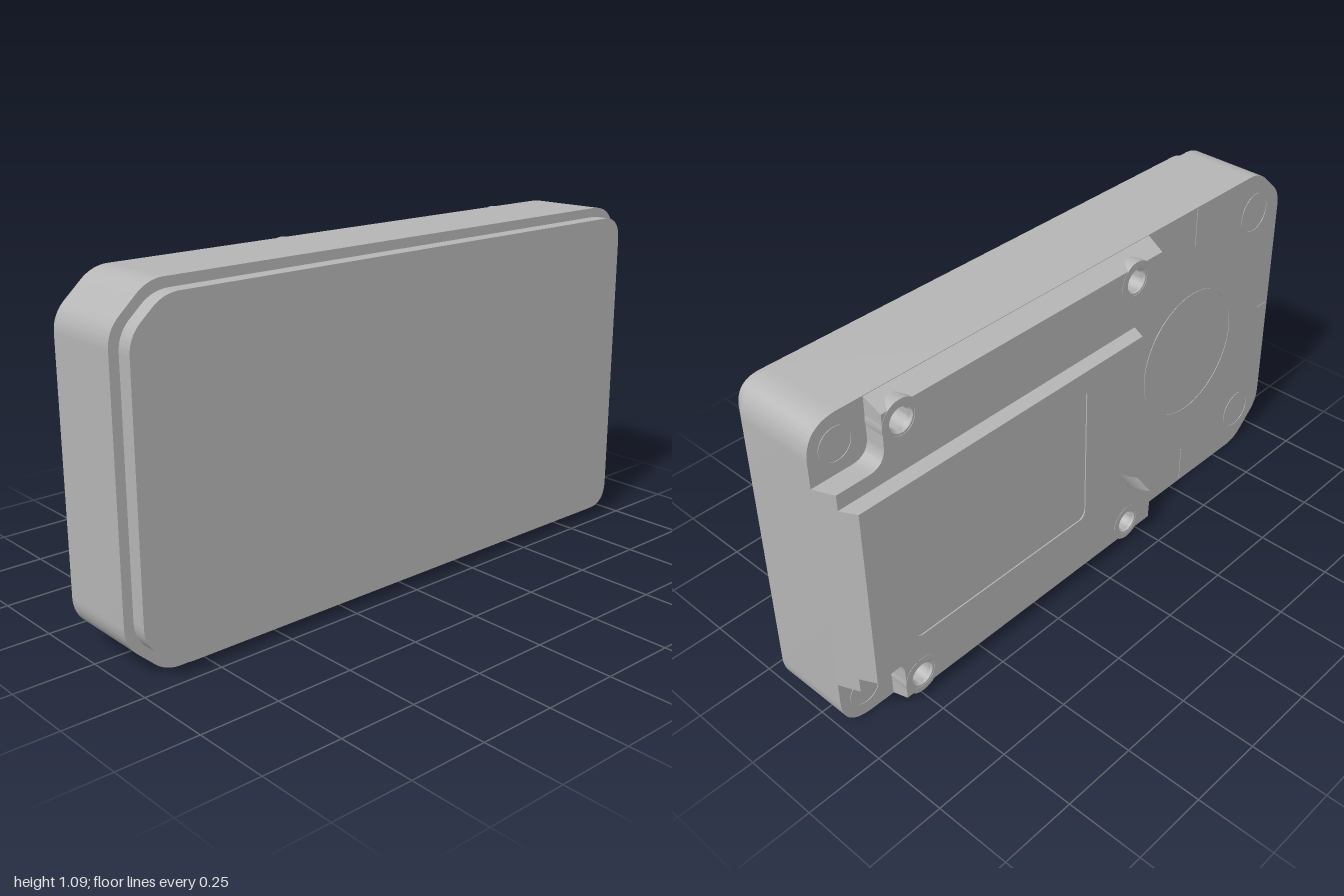
import * as THREE from 'three';
import { toCreasedNormals } from 'three/addons/utils/BufferGeometryUtils.js';

const MID = 0.545; // half height, axis of symmetry
const DISC = -0.55; // x of the round recess centre

// Shape from [x, y, cornerCut] points, corners rounded by the cut length
function rounded(pts, Type = THREE.Shape) {
  const s = new Type();
  const n = pts.length;
  pts.forEach(([x, y, c], i) => {
    const p = new THREE.Vector2(x, y);
    const toward = ([a, b]) => p.clone().add(new THREE.Vector2(a - x, b - y).setLength(c));
    const a = toward(pts[(i + n - 1) % n]);
    const b = toward(pts[(i + 1) % n]);
    if (i === 0) s.moveTo(a.x, a.y); else s.lineTo(a.x, a.y);
    s.quadraticCurveTo(x, y, b.x, b.y);
  });
  s.closePath();
  return s;
}

// Extrude between two z values; rule(v, t) reshapes towards the back (t = 1)
function slab(shape, zBack, zFront, rule) {
  const d = zFront - zBack;
  const g = new THREE.ExtrudeGeometry(shape, { depth: d, bevelEnabled: false, curveSegments: 24 });
  const p = g.attributes.position;
  const v = new THREE.Vector3();
  for (let i = 0; i < p.count; i++) {
    v.fromBufferAttribute(p, i);
    if (rule) rule(v, 1 - v.z / d);
    p.setXYZ(i, v.x, v.y, v.z + zBack);
  }
  return toCreasedNormals(g, 0.5);
}

// Case outline with two clipped corners on the -x side
function outline(inset, k) {
  const e = 1 - inset, lo = inset, hi = 1.09 - inset, cy = inset * 0.4;
  return rounded([
    [-0.875 + cy, lo, 0.05], [e, lo, k], [e, hi, k], [-0.875 + cy, hi, 0.05],
    [-e, 0.975 - cy, 0.05], [-e, 0.115 + cy, 0.05],
  ]);
}

// Widen the round cut towards the back
function flare(v, t) {
  const dx = v.x - DISC, dy = v.y - MID;
  const s = 1 + 0.042 * t;
  v.x = DISC + dx * s;
  v.y = MID + dy * s;
}

export function createModel() {
  const model = new THREE.Group();
  const grey = new THREE.MeshStandardMaterial({ color: 0xb6b6b6, side: THREE.DoubleSide });
  grey.name = 'grey plastic';
  const add = (name, geo) => {
    const m = new THREE.Mesh(geo, grey);
    m.name = name;
    model.add(m);
    return m;
  };

  // Case and front panel
  add('case', slab(outline(0, 0.11), -0.1, 0.165, (v, t) => { v.y = MID + (v.y - MID) * (1 - 0.006 * t); }));
  add('frontPanel', slab(outline(0.03, 0.08), 0.16, 0.215));

  // Raised rear deck with corner notches, a round cut and screw holes
  const screws = [];
  for (const x of [0.747, -0.18]) for (const s of [-1, 1]) screws.push([x, MID + s * 0.465]);
  const deck = new THREE.Shape();
  deck.moveTo(-0.31, 0.005);
  deck.lineTo(0.81, 0.005);
  deck.lineTo(0.81, 0.13);
  deck.quadraticCurveTo(0.81, 0.19, 0.87, 0.19);
  deck.lineTo(1, 0.19);
  deck.lineTo(1, 0.9);
  deck.lineTo(0.87, 0.9);
  deck.quadraticCurveTo(0.81, 0.9, 0.81, 0.96);
  deck.lineTo(0.81, 1.085);
  deck.lineTo(-0.31, 1.085);
  const a = Math.atan2(0.39, 0.24);
  deck.absarc(DISC, MID, 0.458, a, -a, true);
  deck.closePath();
  for (const [x, y] of screws) deck.holes.push(new THREE.Path().absarc(x, y, 0.04, 0, Math.PI * 2, true));
  add('rearDeck', slab(deck, -0.165, -0.1, (v, t) => {
    if (Math.hypot(v.x - DISC, v.y - MID) < 0.465) return flare(v, t);
    if (v.x < -0.3) v.x += 0.015 * t;
    if (v.x > 0.99) v.x -= 0.027 * t;
    if (Math.abs(v.y - MID) > 0.52) v.y -= Math.sign(v.y - MID) * 0.025 * t;
  }));

  // Screw bosses with countersunk bores
  const bossProfile = [[0.065, 0.1], [0.065, 0.166], [0.047, 0.166], [0.035, 0.15], [0.035, 0.1]]
    .map(([r, y]) => new THREE.Vector2(r, y));
  const boss = toCreasedNormals(new THREE.LatheGeometry(bossProfile, 32).rotateX(-Math.PI / 2), 0.5);
  for (const [x, y] of screws) add('screwBoss', boss).position.set(x, y, 0);

  // Central rear plate with a shallow label recess
  const plate = new THREE.Shape();
  plate.moveTo(0.973, 0.24);
  plate.lineTo(0.973, 0.85);
  const b = Math.asin(0.305 / 0.48);
  plate.absarc(DISC, MID, 0.48, b, -b, true);
  plate.closePath();
  plate.holes.push(rounded([[0.09, 0.3, 0.03], [0.09, 0.79, 0.03], [0.8, 0.79, 0.03], [0.8, 0.3, 0.03]], THREE.Path));
  add('rearPlate', slab(plate, -0.215, -0.165, (v, t) => {
    if (v.x > 0.9) v.x -= 0.025 * t;
    else if (Math.hypot(v.x - DISC, v.y - MID) < 0.485) {
      v.x += 0.023 * t;
    }
  }));
  add('labelRecess', new THREE.BoxGeometry(0.72, 0.5, 0.046).translate(0.445, MID, -0.188));

  // Fine circular marks on the back face
  const ring = (name, x, y, r) => {
    const s = new THREE.Shape().absarc(0, 0, r, 0, Math.PI * 2, false);
    s.holes.push(new THREE.Path().absarc(0, 0, r - 0.005, 0, Math.PI * 2, true));
    add(name, slab(s, -0.102, -0.1)).position.set(x, y, 0);
  };
  ring('discMark', DISC, MID, 0.23);
  for (const s of [-1, 1]) {
    ring('cornerMark', -0.865, MID + s * 0.4, 0.07);
    ring('notchMark', 0.91, MID + s * 0.445, 0.055);
  }

  // Alignment ticks around the disc
  const tick = (x, y, w, h) => add('tickMark', new THREE.BoxGeometry(w, h, 0.002)).position.set(x, y, -0.101);
  tick(DISC, 1.015, 0.006, 0.13);
  tick(DISC, 0.075, 0.006, 0.13);
  tick(-0.13, MID, 0.07, 0.006);
  tick(-0.97, MID, 0.05, 0.006);

  return model;
}
